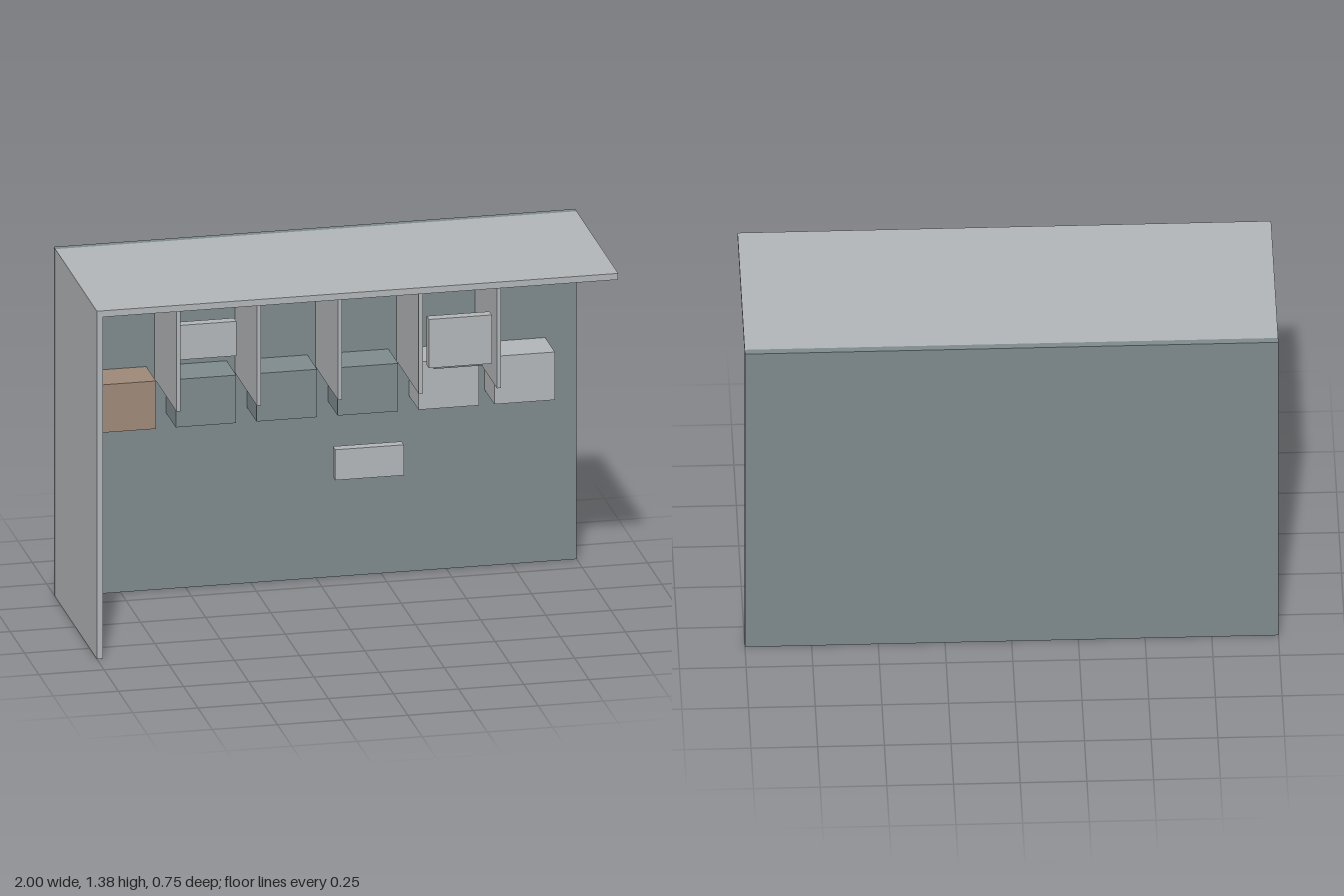
import * as THREE from 'three';

export function createModel() {
  const model = new THREE.Group();
  model.name = 'boothStand';

  const lightGrey = new THREE.MeshStandardMaterial({ name: 'lightGrey', color: 0xb1b4b6 });
  const slate = new THREE.MeshStandardMaterial({ name: 'slate', color: 0x7d898c });
  const tan = new THREE.MeshStandardMaterial({ name: 'tan', color: 0x9c8777 });

  // Box given by its extents along each axis
  function block(name, material, [x0, x1], [y0, y1], [z0, z1]) {
    const mesh = new THREE.Mesh(new THREE.BoxGeometry(x1 - x0, y1 - y0, z1 - z0), material);
    mesh.position.set((x0 + x1) / 2, (y0 + y1) / 2, (z0 + z1) / 2);
    mesh.name = name;
    model.add(mesh);
  }

  // Shell: back wall, one side wall and roof
  const wallFront = -0.348;
  block('backWall', slate, [-1, 1], [0, 1.38], [-0.375, wallFront]);
  block('sideWall', lightGrey, [-1, -0.977], [0, 1.355], [wallFront, 0.375]);
  block('roof', lightGrey, [-1, 1], [1.355, 1.38], [wallFront, 0.375]);

  // Hanging dividers
  for (const x of [-0.612, -0.303, 0.007, 0.317, 0.617]) {
    block('divider', lightGrey, [x - 0.008, x + 0.008], [0.838, 1.349], [wallFront, 0.037]);
  }

  // Row of wall boxes
  const boxes = [[-0.883, tan], [-0.575, slate], [-0.265, slate], [0.046, slate], [0.356, lightGrey], [0.647, lightGrey]];
  for (const [x, material] of boxes) {
    block('wallBox', material, [x, x + 0.232], [0.698, 0.888], [wallFront, -0.18]);
  }

  // Floating panels
  block('upperPanel', lightGrey, [-0.595, -0.345], [0.968, 1.105], [-0.21, -0.17]);
  block('screen', lightGrey, [0.355, 0.596], [0.927, 1.12], [-0.034, 0.007]);
  block('screenBase', slate, [0.382, 0.568], [0.909, 0.921], [-0.16, -0.03]);
  block('lowerPanel', lightGrey, [0.03, 0.293], [0.453, 0.574], [-0.19, -0.15]);

  // Flat lamps under the roof
  for (const [x, material] of [[-0.762, slate], [-0.195, slate], [0.418, lightGrey]]) {
    block('ceilingLamp', material, [x, x + 0.383], [1.339, 1.351], [0.062, 0.198]);
  }

  return model;
}
